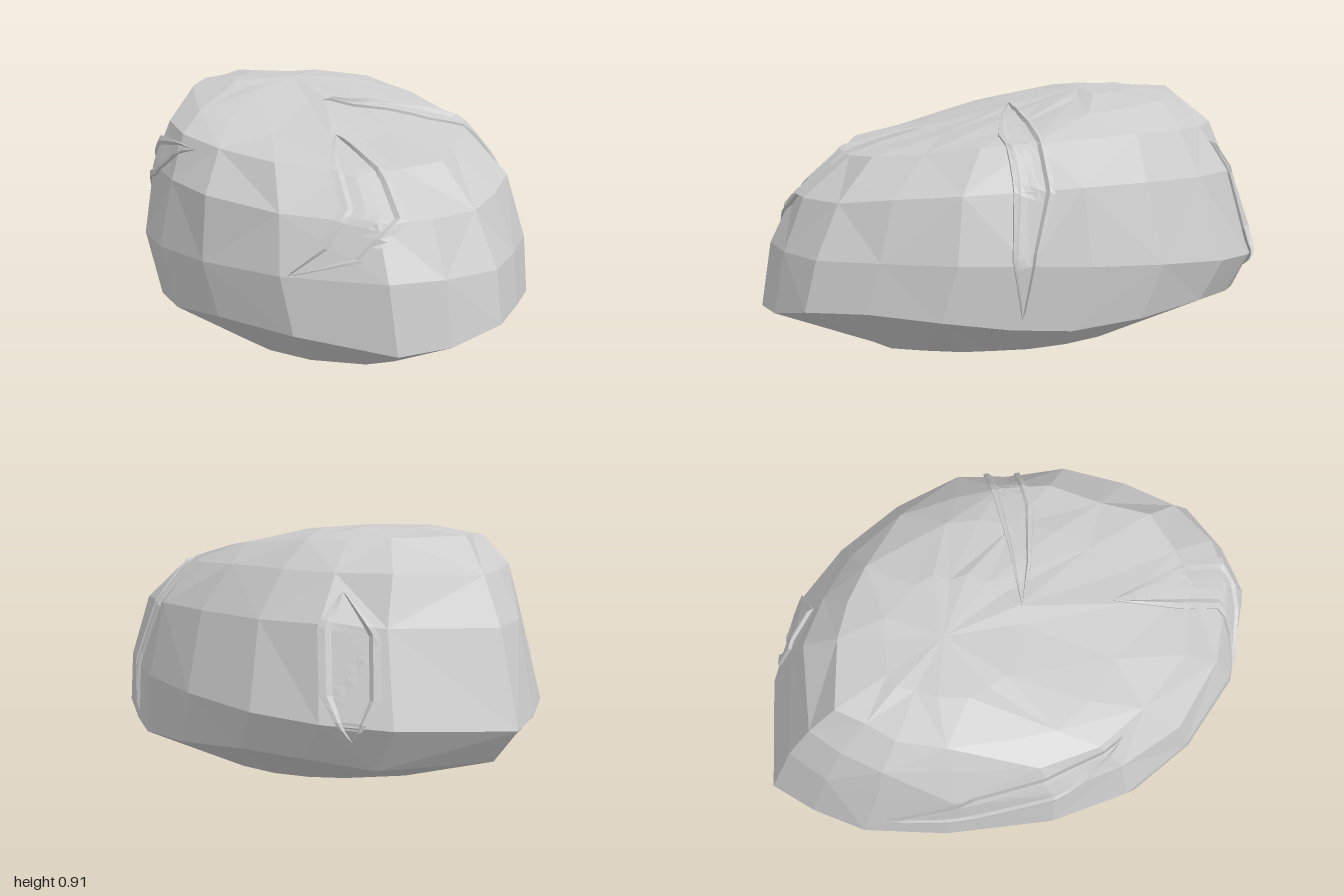
import * as THREE from 'three';

// Plan outline, front -> +x -> back -> -x, as x, z pairs (x scaled to +-1)
const outline = [
  [-0.04, 1], [0.24, 0.98], [0.53, 0.9], [0.72, 0.7], [0.9, 0.46], [0.96, 0.22], [1, 0], [0.93, -0.29],
  [0.76, -0.58], [0.52, -0.77], [0.22, -0.9], [-0.36, -1], [-0.56, -0.87], [-0.75, -0.7],
  [-0.9, -0.4], [-1, 0], [-0.97, 0.3], [-0.81, 0.57], [-0.5, 0.83],
];

// Rings from base to crown: xMin, xMax, zMin, zMax, y at back, sides and front, rise at the corners
const rings = [
  [-0.38, 0.38, -0.42, 0.62, 0.005, 0.01, 0.005, 0],
  [-0.65, 0.69, -0.9, 1.0, 0.12, 0.15, 0.15, 0.06],
  [-0.7, 0.7, -1.0, 0.96, 0.27, 0.37, 0.38, 0],
  [-0.66, 0.63, -0.89, 0.87, 0.6, 0.63, 0.56, 0],
  [-0.59, 0.5, -0.8, 0.7, 0.77, 0.78, 0.7, 0],
  [-0.5, 0.36, -0.67, 0.42, 0.89, 0.85, 0.76, 0],
  [-0.31, 0.15, -0.48, 0.03, 0.91, 0.9, 0.855, 0],
];

function meshFrom(name, points, indices, side) {
  const indexed = new THREE.BufferGeometry().setFromPoints(points);
  indexed.setIndex(indices);
  const geometry = indexed.toNonIndexed();
  geometry.computeVertexNormals();
  const material = new THREE.MeshStandardMaterial({ color: 0xcccccc, flatShading: true, side });
  const mesh = new THREE.Mesh(geometry, material);
  mesh.name = name;
  return mesh;
}

// Faceted boulder lofted through the rings
function makeBoulder() {
  const n = outline.length;
  const points = [];
  const indices = [];
  rings.forEach(([x0, x1, z0, z1, yB, yS, yF, rise], j) => {
    outline.forEach(([u, t], i) => {
      const rough = j > 2 ? 0.012 * Math.sin(i * 2.3 + j * 4.1) : 0;
      const y = yS + ((yF - yB) / 2) * t + ((yF + yB) / 2 - yS) * t * t + rise * 4 * u * u * t * t;
      const x = (x0 + x1) / 2 + ((x1 - x0) / 2 + rough) * u;
      const z = (z0 + z1) / 2 + ((z1 - z0) / 2 + rough) * t;
      points.push(new THREE.Vector3(x, y + rough * 0.3, z));
    });
  });
  for (let j = 0; j < rings.length - 1; j++) {
    for (let i = 0; i < n; i++) {
      const a = j * n + i, b = j * n + (i + 1) % n, c = b + n, d = a + n;
      if ((i + j) % 2) indices.push(a, b, c, a, c, d);
      else indices.push(a, b, d, b, c, d);
    }
  }
  // Close the underside and the crown
  const bottom = points.push(new THREE.Vector3(0, 0, 0.1)) - 1;
  const crown = points.push(new THREE.Vector3(-0.08, 0.913, -0.25)) - 1;
  const last = (rings.length - 1) * n;
  for (let i = 0; i < n; i++) {
    const k = (i + 1) % n;
    indices.push(bottom, k, i, crown, last + i, last + k);
  }
  return meshFrom('boulder', points, indices, THREE.FrontSide);
}

// Points along a straight-sided path, with extra steps between its corners
function subdivide(corners, steps = 6) {
  const path = corners.map((p) => new THREE.Vector3(...p));
  const points = [path[0]];
  for (let i = 1; i < path.length; i++) {
    for (let s = 1; s <= steps; s++) points.push(path[i - 1].clone().lerp(path[i], s / steps));
  }
  return points;
}

// Leaf-shaped split: a low rim around a sunken floor, laid onto the boulder
function makeSplit(name, boulder, start, edgeA, edgeB, end) {
  const profile = [
    [0, -0.01], [0, 0.014], [0.13, 0.016], [0.2, 0.003], [0.4, 0.003], [0.6, 0.003],
    [0.8, 0.003], [0.88, 0.012], [1, 0.01], [1, -0.01],
  ];
  const caster = new THREE.Raycaster();
  const place = (p, height) => {
    const core = new THREE.Vector3(0, 0.35, THREE.MathUtils.clamp(p.z, -0.45, 0.45));
    const dir = p.clone().sub(core).normalize();
    caster.set(core.clone().addScaledVector(dir, 3), dir.clone().negate());
    const hit = caster.intersectObject(boulder)[0];
    return (hit ? hit.point : p).clone().addScaledVector(dir, height);
  };
  const sideA = subdivide([start, ...edgeA, end]);
  const sideB = subdivide([start, ...edgeB, end]);
  const points = [];
  const indices = [];
  const m = profile.length;
  sideA.forEach((a, i) => {
    const tip = i === 0 || i === sideA.length - 1;
    for (const [t, h] of profile) {
      points.push(place(a.clone().lerp(sideB[i], t), tip ? Math.min(h, 0.003) : h));
    }
    if (i === 0) return;
    for (let k = 0; k < m - 1; k++) {
      const p = (i - 1) * m + k, q = p + m;
      indices.push(p, q, p + 1, q, q + 1, p + 1);
    }
  });
  return meshFrom(name, points, indices, THREE.DoubleSide);
}

export function createModel() {
  const group = new THREE.Group();
  group.name = 'rock';
  const boulder = makeBoulder();
  boulder.updateMatrixWorld();
  group.add(boulder);

  group.add(makeSplit('frontSplit', boulder, [-0.35, 0.39, 0.83],
    [[-0.1, 0.45, 0.93], [0.06, 0.56, 0.86], [0.04, 0.64, 0.72]],
    [[-0.25, 0.5, 0.86], [-0.15, 0.61, 0.8], [-0.14, 0.7, 0.62]],
    [-0.06, 0.74, 0.38]));
  group.add(makeSplit('leftSplit', boulder, [-0.03, 0.84, 0.05],
    [[0.2, 0.85, 0.07], [0.45, 0.76, 0.08], [0.6, 0.6, 0.09], [0.65, 0.42, 0.16]],
    [[0.13, 0.83, 0.13], [0.35, 0.77, 0.21], [0.55, 0.65, 0.22], [0.66, 0.4, 0.25]],
    [0.66, 0.2, 0.22]));
  group.add(makeSplit('backSplit', boulder, [0.26, 0.77, -0.7],
    [[0.18, 0.62, -0.86], [0.2, 0.38, -0.91]],
    [[0.36, 0.63, -0.72], [0.38, 0.4, -0.78]],
    [0.3, 0.22, -0.87]));
  group.add(makeSplit('rightSplit', boulder, [-0.59, 0.75, 0.27],
    [[-0.62, 0.73, 0], [-0.6, 0.65, -0.3]],
    [[-0.67, 0.6, 0.05], [-0.65, 0.48, -0.3]],
    [-0.56, 0.43, -0.62]));
  return group;
}
